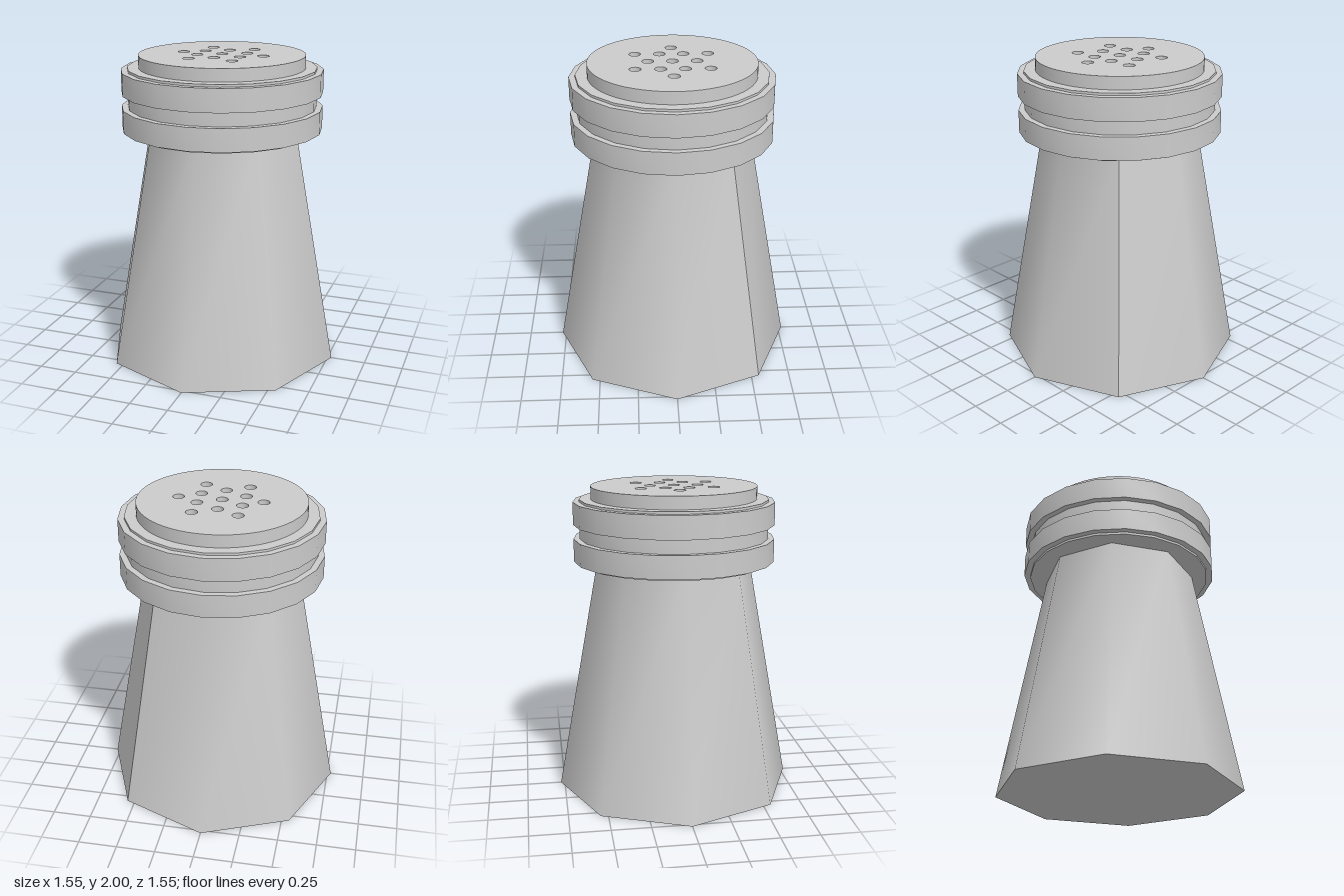
import * as THREE from 'three';
import { toCreasedNormals } from 'three/addons/utils/BufferGeometryUtils.js';

const material = new THREE.MeshStandardMaterial({ color: 0xcccccc });

function addPart(group, name, geometry) {
  const mesh = new THREE.Mesh(geometry, material);
  mesh.name = name;
  group.add(mesh);
  return mesh;
}

export function createModel() {
  const shaker = new THREE.Group();
  shaker.name = 'shaker';

  // Eight-sided tapering body, smooth except for one seam at the back
  const bodyHeight = 1.51;
  const body = new THREE.CylinderGeometry(0.5, 0.776, bodyHeight, 8, 1, false, Math.PI * 0.75);
  body.translate(0, bodyHeight / 2, 0);
  body.computeVertexNormals();
  addPart(shaker, 'body', body);

  // Twenty-sided lid with two raised bands
  const profile = [
    [0, 1.51], [0.605, 1.51], [0.605, 1.525], [0.645, 1.525], [0.645, 1.67], [0.605, 1.67],
    [0.605, 1.76], [0.645, 1.76], [0.645, 1.905], [0.605, 1.905], [0.605, 1.92], [0, 1.92],
  ].map(([r, y]) => new THREE.Vector2(r, y));
  addPart(shaker, 'lid', toCreasedNormals(new THREE.LatheGeometry(profile, 20), 0.6));

  // Round top plate pierced by the sprinkle holes
  const holes = [[0, 0], [-0.258, 0], [0.273, 0], [0, 0.153], [0, -0.153]];
  for (const x of [-0.138, 0.144]) {
    for (const z of [-0.228, -0.073, 0.077, 0.232]) holes.push([x, z]);
  }
  const disc = new THREE.Shape().absarc(0, 0, 0.53, 0, Math.PI * 2);
  for (const [x, z] of holes) {
    disc.holes.push(new THREE.Path().absarc(x, -z, 0.037, 0, Math.PI * 2, true));
  }
  const plate = new THREE.ExtrudeGeometry(disc, { depth: 0.08, bevelEnabled: false, curveSegments: 32 });
  plate.rotateX(-Math.PI / 2);
  plate.translate(0, 1.92, 0);
  addPart(shaker, 'topPlate', toCreasedNormals(plate, 0.6));

  return shaker;
}
